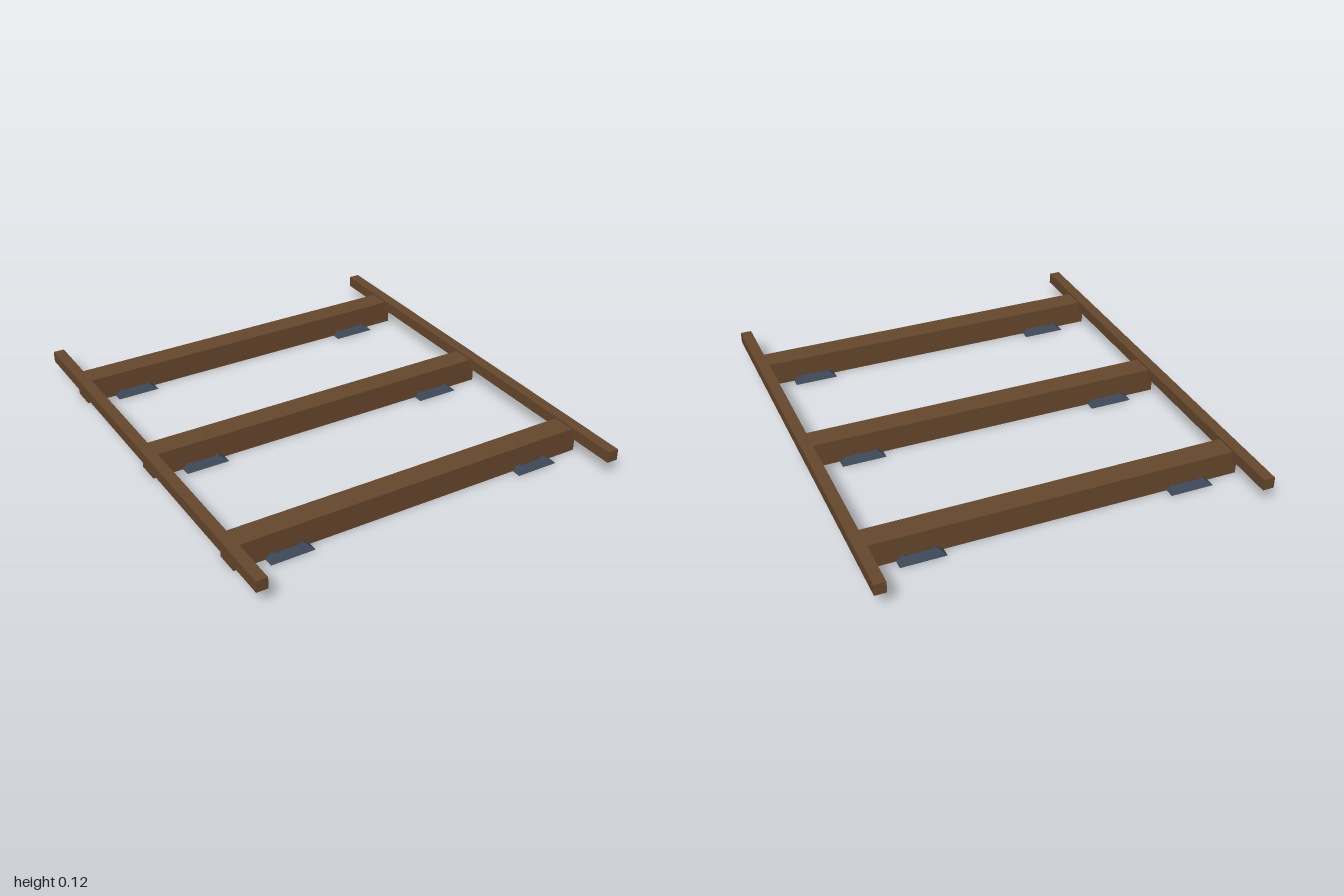
import * as THREE from 'three';

const wood = new THREE.MeshStandardMaterial({ color: 0x66472c });
wood.name = 'brown wood';
const slate = new THREE.MeshStandardMaterial({ color: 0x3c4656 });
slate.name = 'slate grey';

function box(name, size, position) {
  const mesh = new THREE.Mesh(new THREE.BoxGeometry(...size), wood);
  mesh.name = name;
  mesh.position.set(...position);
  return mesh;
}

// Square foot pad: sloped sides, narrow rim and a dished middle
function padGeometry() {
  const profile = [[0, 0.002], [0.097, 0.002], [0.065, 0.027], [0.045, 0.012], [0, 0.012]]
    .map(([half, y]) => new THREE.Vector2(half * Math.SQRT2, y));
  const geometry = new THREE.LatheGeometry(profile, 4).rotateY(Math.PI / 4).toNonIndexed();
  geometry.computeVertexNormals();
  return geometry;
}

export function createModel() {
  const model = new THREE.Group();
  model.name = 'timberFrame';
  const pad = padGeometry();

  // Cross beams, each on two foot pads
  for (const z of [-0.717, 0, 0.717]) {
    const support = new THREE.Group();
    support.name = 'beamWithPads';
    support.position.z = z;
    support.add(box('crossBeam', [1.64, 0.11, 0.104], [0, 0.055, 0]));
    for (const side of [-1, 1]) {
      const foot = new THREE.Mesh(pad, slate);
      foot.name = side > 0 ? 'leftFootPad' : 'rightFootPad';
      foot.position.x = side * 0.588;
      support.add(foot);
    }
    model.add(support);
  }

  // Long side rails set into the beam ends
  for (const side of [-1, 1]) {
    model.add(box(side > 0 ? 'leftRail' : 'rightRail', [0.05, 0.05, 2], [side * 0.822, 0.094, 0]));
  }
  return model;
}
